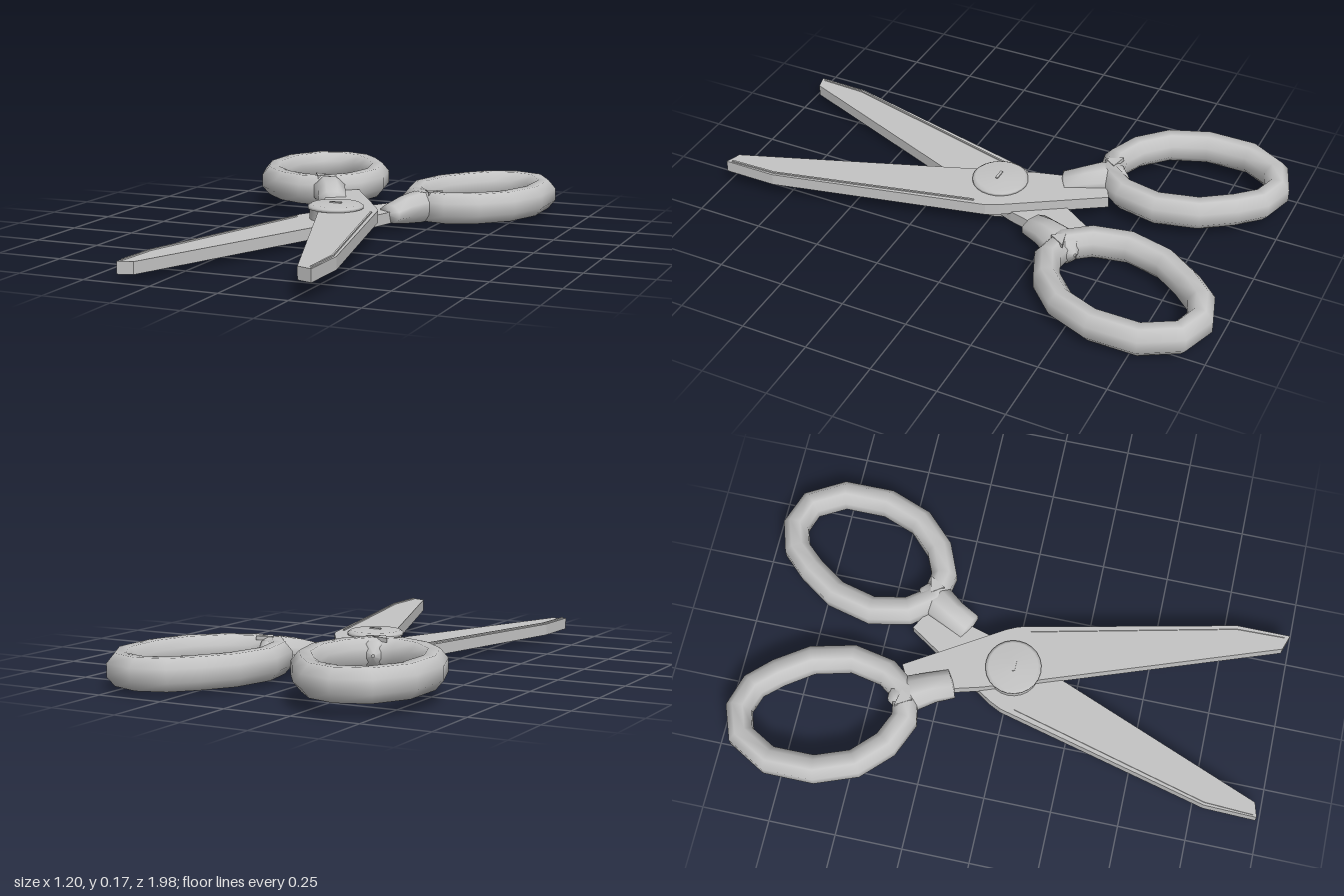
import * as THREE from 'three';

const steel = new THREE.MeshStandardMaterial({ color: 0xc4c4c4 });
steel.name = 'pale grey';

function add(parent, name, geometry) {
  const mesh = new THREE.Mesh(geometry, steel);
  mesh.name = name;
  parent.add(mesh);
  return mesh;
}

// Flat plate from an outline of [x, z] points, between heights y0 and y1
function plate(points, y0, y1) {
  const shape = new THREE.Shape(points.map(([x, z]) => new THREE.Vector2(x, -z)));
  const geo = new THREE.ExtrudeGeometry(shape, { depth: y1 - y0, bevelEnabled: false });
  return geo.rotateX(-Math.PI / 2).translate(0, y0, 0);
}

// Smooth eight-sided skin along horizontal stations [x, y, z, halfWidth, halfHeight]
function loft(stations, closed) {
  const n = stations.length, sides = 8, pos = [], index = [];
  const up = new THREE.Vector3(0, 1, 0);
  const at = i => {
    const k = closed ? (i + n) % n : Math.min(n - 1, Math.max(0, i));
    return new THREE.Vector3(stations[k][0], 0, stations[k][2]);
  };
  stations.forEach(([x, y, z, w, h], i) => {
    const side = up.clone().cross(at(i + 1).sub(at(i - 1)).normalize());
    for (let j = 0; j < sides; j++) {
      const a = (j + 0.5) / sides * Math.PI * 2;
      // scaled so the flats of the octagon reach the given half sizes
      const c = Math.cos(a) * w * 1.08, s = Math.sin(a) * h * 1.08;
      pos.push(x + side.x * c, y + s, z + side.z * c);
    }
  });
  for (let i = 0; i < (closed ? n : n - 1); i++) {
    for (let j = 0; j < sides; j++) {
      const k = (i + 1) % n, m = (j + 1) % sides;
      const a = i * sides + j, b = i * sides + m, c = k * sides + m, d = k * sides + j;
      index.push(a, b, d, b, c, d);
    }
  }
  const geo = new THREE.BufferGeometry();
  geo.setAttribute('position', new THREE.Float32BufferAttribute(pos, 3));
  geo.setIndex(index);
  geo.computeVertexNormals();
  return geo;
}

// Centre line of the finger loop, as [x, z]
const loopPath = [
  [-0.553, -0.79], [-0.485, -0.91], [-0.385, -0.945], [-0.29, -0.915], [-0.22, -0.84],
  [-0.145, -0.73], [-0.108, -0.58], [-0.135, -0.445], [-0.2, -0.36], [-0.3, -0.342],
  [-0.405, -0.386], [-0.5, -0.48], [-0.553, -0.62],
];

// Collar joining loop to shank: [x, height offset, z, halfWidth, halfHeight]
const neckPath = [
  [-0.235, 0, -0.42, 0.005, 0.005], [-0.225, 0, -0.4, 0.045, 0.045], [-0.19, 0, -0.335, 0.062, 0.058],
  [-0.155, -0.005, -0.275, 0.054, 0.05], [-0.122, -0.012, -0.205, 0.053, 0.034], [-0.118, -0.012, -0.198, 0.004, 0.004],
];

function handle(name, side, y, dz) {
  const group = new THREE.Group();
  group.name = name;
  add(group, 'fingerLoop', loft(loopPath.map(([x, z]) => [-side * x, y, z + dz, 0.048, 0.0575]), true));
  add(group, 'neck', loft(neckPath.map(([x, h, z, w, t]) => [-side * x, y + h, z + dz, w, t]), false));
  // small three-cornered nib on top of the loop
  const nib = [[-0.27, -0.385], [-0.205, -0.37], [-0.235, -0.325]];
  add(group, 'nib', plate(nib.map(([x, z]) => [-side * x, z + dz]), y + 0.045, y + 0.06));
  return group;
}

function blade(name, outline, ridge, y0, y1) {
  const group = new THREE.Group();
  group.name = name;
  add(group, 'bladeBody', plate(outline, y0, y1));
  // narrow ridge just inside the outer edge
  const w = 0.007;
  const strip = [...ridge, ...ridge.map(([x, z]) => [x - Math.sign(x) * w, z]).reverse()];
  add(group, 'edgeRidge', plate(strip, y1 - 0.01, y1 + 0.005));
  return group;
}

export function createModel() {
  const model = new THREE.Group();
  model.name = 'scissors';

  // Upper half: blade to the left, loop to the right
  model.add(blade('upperBlade', [
    [0.325, 0.99], [0.325, 0.79], [0.147, -0.01], [0.125, -0.055], [-0.09, -0.4],
    [-0.2, -0.34], [-0.145, -0.2], [-0.115, -0.09], [0.268, 0.97],
  ], [[0.143, 0.04], [0.316, 0.79], [0.32, 0.97]], 0.062, 0.107));
  model.add(handle('upperHandle', -1, 0.106, 0));

  // Lower half: blade to the right, loop to the left
  model.add(blade('lowerBlade', [
    [-0.38, 0.985], [-0.375, 0.79], [-0.172, -0.01], [-0.15, -0.055], [0.075, -0.4],
    [0.19, -0.34], [0.13, -0.2], [0.1, -0.09], [-0.325, 0.97],
  ], [[-0.165, 0.04], [-0.365, 0.79], [-0.374, 0.97]], 0.026, 0.07));
  model.add(handle('lowerHandle', 1, 0.073, 0.012));

  // Pivot screw with rounded rims and a small slot bar
  const profile = [
    [0, 0], [0.085, 0], [0.098, 0.008], [0.098, 0.055], [0.098, 0.107],
    [0.104, 0.109], [0.104, 0.118], [0.092, 0.126], [0, 0.129],
  ].map(([r, y]) => new THREE.Vector2(r, y));
  add(model, 'pivotScrew', new THREE.LatheGeometry(profile, 24)).position.set(-0.016, 0, 0.006);
  add(model, 'screwSlot', new THREE.BoxGeometry(0.045, 0.006, 0.01)).position.set(-0.014, 0.13, 0.01);

  return model;
}
